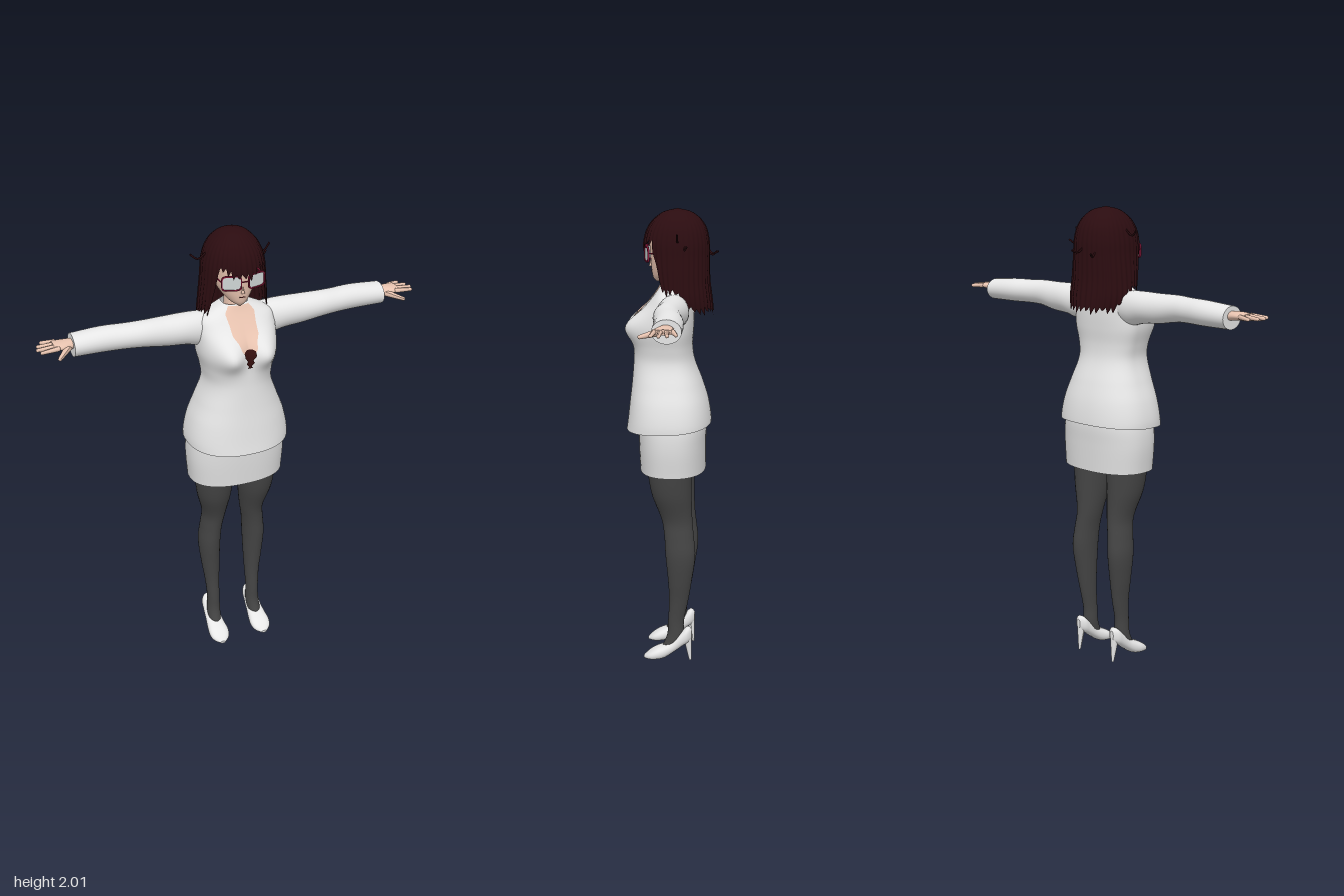
import * as THREE from 'three';

const mat = (name, color, side = THREE.FrontSide) => {
  const m = new THREE.MeshStandardMaterial({ color, side });
  m.name = name;
  return m;
};

// Grid surface from fn(u, v); wrap joins the u ends, caps close the v ends.
function grid(nu, nv, fn, wrap = true, caps = false) {
  const pos = [], idx = [], w = wrap ? nu : nu + 1;
  for (let j = 0; j <= nv; j++) for (let i = 0; i < w; i++) pos.push(...fn(i / nu, j / nv));
  for (let j = 0; j < nv; j++) for (let i = 0; i < nu; i++) {
    const a = j * w + i, b = j * w + (i + 1) % w;
    idx.push(a, b, b + w, a, b + w, a + w);
  }
  if (caps) for (const end of [0, 1]) {
    const start = pos.length / 3, mid = [0, 0, 0];
    for (let i = 0; i < nu; i++) {
      const p = fn(i / nu, end);
      pos.push(...p);
      p.forEach((c, k) => { mid[k] += c / nu; });
    }
    pos.push(...mid);
    for (let i = 0; i < nu; i++) {
      const a = start + i, b = start + (i + 1) % nu, c = start + nu;
      idx.push(...(end ? [a, b, c] : [b, a, c]));
    }
  }
  const g = new THREE.BufferGeometry();
  g.setAttribute('position', new THREE.Float32BufferAttribute(pos, 3));
  g.setIndex(idx);
  g.computeVertexNormals();
  return g;
}

// Smooth interpolation of rows [height, centreX, centreZ, halfWidth, front, back].
function sampler(rows) {
  const it = new THREE.CubicInterpolant(rows.map(r => r[0]), rows.flatMap(r => r.slice(1)), 5);
  return t => [...it.evaluate(t)];
}
const pw = (v, e) => Math.sign(v) * Math.abs(v) ** e;
function ringPoint(s, angle, y, e = 1) {
  const [cx, cz, rx, rf, rb] = s(y), c = Math.cos(angle);
  return [cx + rx * pw(Math.sin(angle), e), y, cz + (c > 0 ? rf : rb) * pw(c, e)];
}
function loft(rows, nu = 28, nv = 36, e = 1) {
  const s = sampler(rows), a = rows[0][0], b = rows[rows.length - 1][0];
  return grid(nu, nv, (u, v) => ringPoint(s, u * Math.PI * 2, a + (b - a) * v, e), true, true);
}

function mirrored(geo) {
  const g = geo.clone().scale(-1, 1, 1), i = g.index.array;
  for (let k = 0; k < i.length; k += 3) [i[k], i[k + 1]] = [i[k + 1], i[k]];
  g.computeVertexNormals();
  return g;
}

// Rounded bar between two points
function bar(a, b, r0, r1 = r0) {
  const A = new THREE.Vector3(...a), B = new THREE.Vector3(...b), d = B.clone().sub(A);
  const g = new THREE.CapsuleGeometry(1, 2, 5, 10), p = g.attributes.position, len = d.length();
  for (let i = 0; i < p.count; i++) {
    const y = p.getY(i), top = y > 0, r = top ? r1 : r0;
    p.setXYZ(i, p.getX(i) * r, top ? len + (y - 1) * r : (y + 1) * r, p.getZ(i) * r);
  }
  g.applyQuaternion(new THREE.Quaternion().setFromUnitVectors(new THREE.Vector3(0, 1, 0), d.normalize()));
  g.translate(...a);
  g.computeVertexNormals();
  return g;
}

export function createModel() {
  const root = new THREE.Group();
  const M = {
    jacket: mat('jacket white', 0xe6e6e6, THREE.DoubleSide),
    skirt: mat('skirt white', 0xe0e0e0),
    stocking: mat('stocking charcoal', 0x444444),
    shoe: mat('shoe white', 0xeeeeee),
    skin: mat('skin', 0xf0cab6, THREE.DoubleSide),
    hair: mat('dark brown hair', 0x2b0c10, THREE.DoubleSide),
    lens: mat('lens grey', 0xcfd6d6),
    frame: mat('frame red', 0x861638),
    lace: mat('dark lace', 0x35100f, THREE.DoubleSide),
  };
  const add = (name, geo, m) => {
    const mesh = new THREE.Mesh(geo, m);
    mesh.name = name;
    root.add(mesh);
  };
  const pair = (name, geo, m) => {
    add('left' + name, geo, m);
    add('right' + name, mirrored(geo), m);
  };

  // Jacket body, with the bust added as two smooth swellings
  const body = sampler([
    [1.05, 0, 0, .226, .2, .17], [1.1, 0, 0, .225, .193, .168], [1.18, 0, 0, .208, .184, .155],
    [1.26, 0, 0, .178, .175, .13], [1.36, 0, 0, .146, .167, .093], [1.42, 0, 0, .153, .164, .086],
    [1.49, 0, 0, .17, .155, .09], [1.55, 0, 0, .172, .138, .092], [1.6, 0, 0, .17, .105, .09],
    [1.64, 0, 0, .155, .075, .08], [1.665, 0, 0, .11, .058, .07], [1.69, 0, 0, .055, .045, .06],
  ]);
  const E = .85;
  const bodyPoint = (angle, y) => {
    const p = ringPoint(body, angle, y, E), c = Math.max(0, Math.cos(angle));
    p[2] += .06 * c ** .6 * Math.exp(-(((Math.abs(p[0]) - .085) / .065) ** 2) - ((y - 1.505) / .062) ** 2);
    return p;
  };
  add('jacketBody', grid(72, 64, (u, v) => {
    const a = u * Math.PI * 2, hem = 1.057 + .014 * (1 - Math.cos(a));
    return bodyPoint(a, hem + (1.69 - hem) * v);
  }), M.jacket);

  // Thin panels that follow the jacket front: rows [height, half width]
  const panel = (rows, lift, n = 20) => grid(n, 30, (u, v) => {
    const y = rows[0][0] + (rows[rows.length - 1][0] - rows[0][0]) * v;
    const k = Math.max(1, rows.findIndex(r => r[0] >= y - 1e-9)), [a, b] = [rows[k - 1], rows[k]];
    const w = a[1] + (b[1] - a[1]) * (y - a[0]) / (b[0] - a[0]);
    const s = (u * 2 - 1) * w / body(y)[2];
    const p = bodyPoint(Math.asin(pw(s, 1 / E)), y);
    return [p[0], p[1], p[2] + lift];
  }, false);
  add('neckline', panel([[1.5, .012], [1.535, .034], [1.56, .04], [1.585, .056], [1.62, .058], [1.66, .064], [1.686, .045]], .005), M.skin);
  add('lacePanel', panel([[1.455, .012], [1.465, .006], [1.48, .018], [1.49, .012], [1.51, .026], [1.53, .024], [1.535, .012]], .008, 8), M.lace);

  // Skirt
  add('skirt', loft([[.875, 0, 0, .211, .14, .146], [1, 0, 0, .219, .145, .146], [1.08, 0, 0, .212, .145, .145], [1.15, 0, 0, .19, .14, .13]], 56, 20, E), M.skirt);

  // Sleeves, lofted upright and then laid along x
  const sleeve = loft([
    [.09, -1.585, -.015, .066, .055, .055], [.16, -1.585, -.015, .073, .062, .066], [.22, -1.592, -.015, .067, .065, .068],
    [.3, -1.595, -.015, .063, .063, .062], [.4, -1.603, -.01, .055, .058, .059], [.47, -1.603, -.018, .052, .058, .058],
    [.55, -1.602, -.027, .052, .058, .06], [.69, -1.597, -.031, .047, .058, .058],
  ]).rotateZ(-Math.PI / 2);
  pair('Sleeve', sleeve, M.jacket);

  // Hands
  const palm = loft([[.67, -1.603, -.03, .02, .03, .03], [.7, -1.606, -.028, .019, .033, .033],
    [.735, -1.608, -.025, .016, .041, .041], [.768, -1.609, -.027, .011, .041, .041]], 20, 12).rotateZ(-Math.PI / 2);
  pair('Palm', palm, M.skin);
  [[-.061, -.076, .803], [-.038, -.045, .824], [-.014, -.014, .832], [.009, .016, .822]].forEach(([z0, z1, x], i) =>
    pair('Finger' + (i + 1), bar([.755, 1.609, z0], [x, 1.606, z1], .0105, .0075), M.skin));
  pair('Thumb', bar([.71, 1.6, -.005], [.763, 1.59, .062], .015, .008), M.skin);

  // Legs
  pair('Leg', loft([
    [.04, .103, .015, .028, .035, .03], [.08, .1, -.01, .03, .04, .035], [.12, .098, -.02, .03, .036, .036],
    [.18, .098, -.02, .028, .033, .038], [.28, .1, -.03, .033, .038, .047], [.38, .105, -.037, .042, .05, .056],
    [.5, .108, -.04, .049, .064, .068], [.58, .101, -.034, .048, .063, .067], [.65, .092, -.026, .051, .066, .068],
    [.78, .098, 0, .076, .085, .09], [.95, .1, .005, .092, .105, .092],
  ], 28, 60), M.stocking);

  // Pumps: rows [z, half width, sole, top], lofted along z
  const pump = [[-.094, .01, .1, .143], [-.08, .028, .085, .157], [-.05, .034, .064, .135], [-.01, .037, .034, .092],
    [.03, .043, .008, .07], [.07, .046, 0, .052], [.1, .036, 0, .032], [.121, .012, .001, .013]];
  pair('Shoe', loft(pump.map(([z, w, lo, hi]) =>
    [z, .104, -(lo + hi) / 2, w, (hi - lo) / 2, (hi - lo) / 2]), 24, 28, .85).rotateX(Math.PI / 2), M.shoe);
  pair('Heel', bar([.104, 0, -.087], [.104, .12, -.074], .006, .021), M.shoe);

  // Neck, head and small features
  add('neck', new THREE.CylinderGeometry(.038, .048, .15, 24).translate(0, 1.685, -.005), M.skin);
  add('head', loft([
    [1.693, 0, .045, .012, .025, .03], [1.705, 0, .04, .03, .041, .045], [1.73, 0, .02, .055, .068, .07],
    [1.77, 0, 0, .079, .092, .09], [1.82, 0, -.01, .09, .106, .1], [1.88, 0, -.015, .093, .112, .11],
    [1.93, 0, -.02, .08, .095, .1], [1.965, 0, -.02, .04, .05, .05],
  ], 36, 40), M.skin);
  add('nose', new THREE.ConeGeometry(.008, .03, 8).translate(0, 1.772, .094), M.skin);
  add('mouth', new THREE.BoxGeometry(.024, .004, .006).translate(0, 1.737, .087), M.lace);

  // Glasses
  const lensShape = (w, h, r, T) => {
    const s = new T();
    s.moveTo(-w + r, -h).lineTo(w - r, -h).quadraticCurveTo(w, -h, w, -h + r).lineTo(w, h - r)
      .quadraticCurveTo(w, h, w - r, h).lineTo(-w + r, h).quadraticCurveTo(-w, h, -w, h - r)
      .lineTo(-w, -h + r).quadraticCurveTo(-w, -h, -w + r, -h);
    return s;
  };
  const rim = lensShape(.042, .032, .02, THREE.Shape);
  rim.holes.push(lensShape(.037, .027, .017, THREE.Path));
  for (const s of [-1, 1]) {
    const side = s > 0 ? 'left' : 'right';
    const place = g => g.rotateY(s * .28).translate(s * .053, 1.812, .102);
    add(side + 'Rim', place(new THREE.ExtrudeGeometry(rim, { depth: .008, bevelEnabled: false })), M.frame);
    add(side + 'Lens', place(new THREE.ExtrudeGeometry(lensShape(.037, .027, .017, THREE.Shape), { depth: .004, bevelEnabled: false })), M.lens);
    add(side + 'Temple', bar([s * .095, 1.82, .09], [s * .098, 1.82, -.03], .003), M.frame);
  }
  add('bridge', bar([-.014, 1.815, .116], [.014, 1.815, .116], .003), M.frame);

  // Hair shell: fringe in front, long locks at the sides and a long back
  const hair = sampler([
    [1.54, 0, -.02, .125, .05, .155], [1.62, 0, -.02, .146, .08, .148], [1.7, 0, -.02, .142, .115, .138],
    [1.8, 0, -.02, .132, .138, .136], [1.87, 0, -.02, .126, .141, .134], [1.93, 0, -.02, .107, .12, .117],
    [1.968, 0, -.02, .077, .085, .085], [1.99, 0, -.02, .042, .045, .046], [2, 0, -.02, 0, 0, 0],
  ]);
  const tooth = x => Math.abs(((x % 1) + 1) % 1 - .5) * 2;
  const step = THREE.MathUtils.smoothstep;
  add('hair', grid(216, 44, (u, v) => {
    const a = (u - .5) * Math.PI * 2, d = Math.abs(a) * 180 / Math.PI;
    const tip = 1.845 + .03 * step(Math.abs(d - 10), 0, 25) - .2 * step(d, 46, 62) - .085 * step(d, 85, 125);
    const low = tip - (.012 + .022 * tooth(u * 11 + .3)) * tooth(u * 36);
    const y = 2 - (2 - low) * (1 - v) ** 1.6;
    const p = ringPoint(hair, a, y, .92), k = 1 + .022 * (1 - v) * Math.cos(u * 36 * Math.PI * 2);
    return [p[0] * k, y, (p[2] + .02) * k - .02];
  }), M.hair);
  // Loose strands
  [[[-.11, 1.91, -.02], [-.15, 1.885, -.02], [-.18, 1.905, -.03]], [[.11, 1.87, -.03], [.145, 1.875, -.03], [.168, 1.905, -.03]],
    [[.12, 1.85, -.06], [.15, 1.84, -.06], [.17, 1.855, -.07]], [[0, 1.85, -.14], [.02, 1.815, -.17], [.03, 1.825, -.195]],
    [[-.05, 1.83, -.13], [-.06, 1.8, -.165], [-.07, 1.815, -.185]]].forEach((pts, i) =>
    add('looseStrand' + (i + 1), new THREE.TubeGeometry(new THREE.CatmullRomCurve3(pts.map(p => new THREE.Vector3(...p))), 12, .004, 6), M.hair));
  return root;
}
